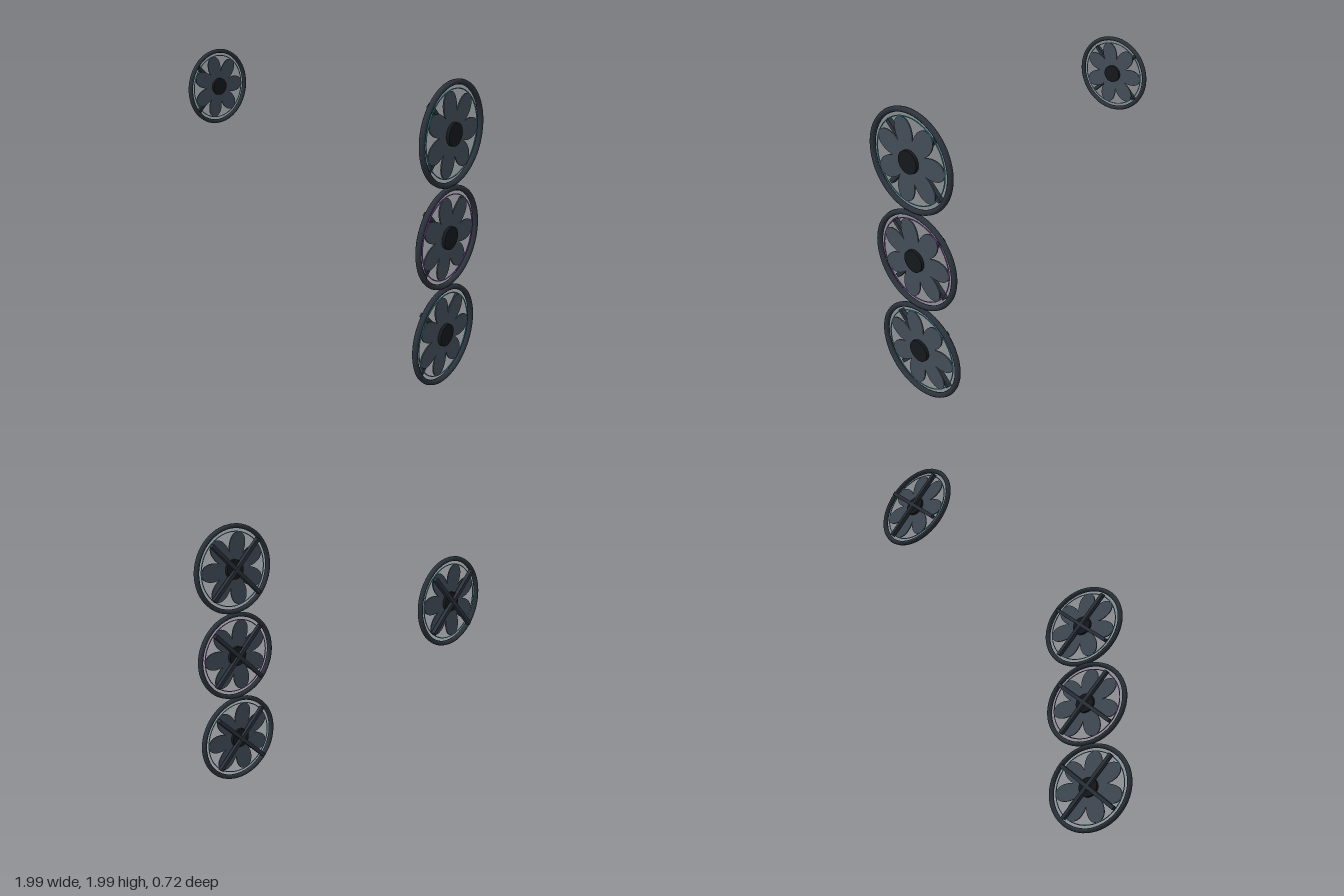
import * as THREE from 'three';

const mat = (color, side = THREE.FrontSide) => new THREE.MeshStandardMaterial({ color, side });
const ringMat = mat(0x2b323b);
const barMat = mat(0x2b323b);
const bladeMat = mat(0x434c57, THREE.DoubleSide);
const hubMat = mat(0x15181c);
const tealMat = mat(0x2f9aa8);
const purpleMat = mat(0x9448b4);

function part(name, geometry, material) {
  const mesh = new THREE.Mesh(geometry, material);
  mesh.name = name;
  return mesh;
}

// Petal outline running out along +x, narrow root and broad rounded tip
function bladeGeometry() {
  const s = new THREE.Shape();
  s.moveTo(0.05, -0.025);
  s.bezierCurveTo(0.13, -0.075, 0.18, -0.08, 0.23, -0.07);
  s.bezierCurveTo(0.275, -0.058, 0.295, -0.03, 0.295, 0);
  s.bezierCurveTo(0.295, 0.035, 0.27, 0.062, 0.23, 0.07);
  s.bezierCurveTo(0.18, 0.08, 0.13, 0.07, 0.05, 0.025);
  s.closePath();
  return new THREE.ExtrudeGeometry(s, { depth: 0.008, bevelEnabled: false, curveSegments: 8 });
}

// One fan, modelled facing +z and then turned to face +x
function createFan(accent) {
  const fan = new THREE.Group();
  fan.add(part('outerRing', new THREE.TorusGeometry(0.339, 0.019, 10, 64), ringMat));
  fan.add(part('accentRing', new THREE.TorusGeometry(0.296, 0.004, 6, 64), accent));

  const hub = part('hub', new THREE.CylinderGeometry(0.079, 0.079, 0.05, 32), hubMat);
  hub.rotation.x = Math.PI / 2;
  fan.add(hub);

  // Seven petal blades
  const blades = new THREE.Group();
  blades.name = 'blades';
  const geometry = bladeGeometry();
  for (let i = 0; i < 7; i++) {
    const blade = part('blade', geometry, bladeMat);
    blade.rotation.z = (i / 7) * Math.PI * 2;
    blade.position.z = -0.004;
    blades.add(blade);
  }
  fan.add(blades);

  // Crossed support bars behind the blades
  for (const sign of [-1, 1]) {
    const bar = part('supportBar', new THREE.BoxGeometry(0.615, 0.03, 0.03), barMat);
    bar.rotation.z = sign * Math.PI / 4;
    bar.position.z = -0.033;
    fan.add(bar);
  }
  fan.rotation.y = Math.PI / 2;
  return fan;
}

export function createModel() {
  const model = new THREE.Group();
  model.name = 'fanSet';
  const fans = [
    ['lowerFan', 0.973, 0.338, 0, 1, tealMat],
    ['middleFan', 0.973, 0.995, 0, 1, purpleMat],
    ['upperFan', 0.973, 1.651, 0, 1, tealMat],
    ['smallFan', -0.955, 1.727, 0.01, 0.8, tealMat],
  ];
  for (const [name, x, y, z, size, accent] of fans) {
    const fan = createFan(accent);
    fan.name = name;
    fan.position.set(x, y, z);
    // Slightly squashed in height
    fan.scale.set(size, size * 0.925, size);
    model.add(fan);
  }
  return model;
}
